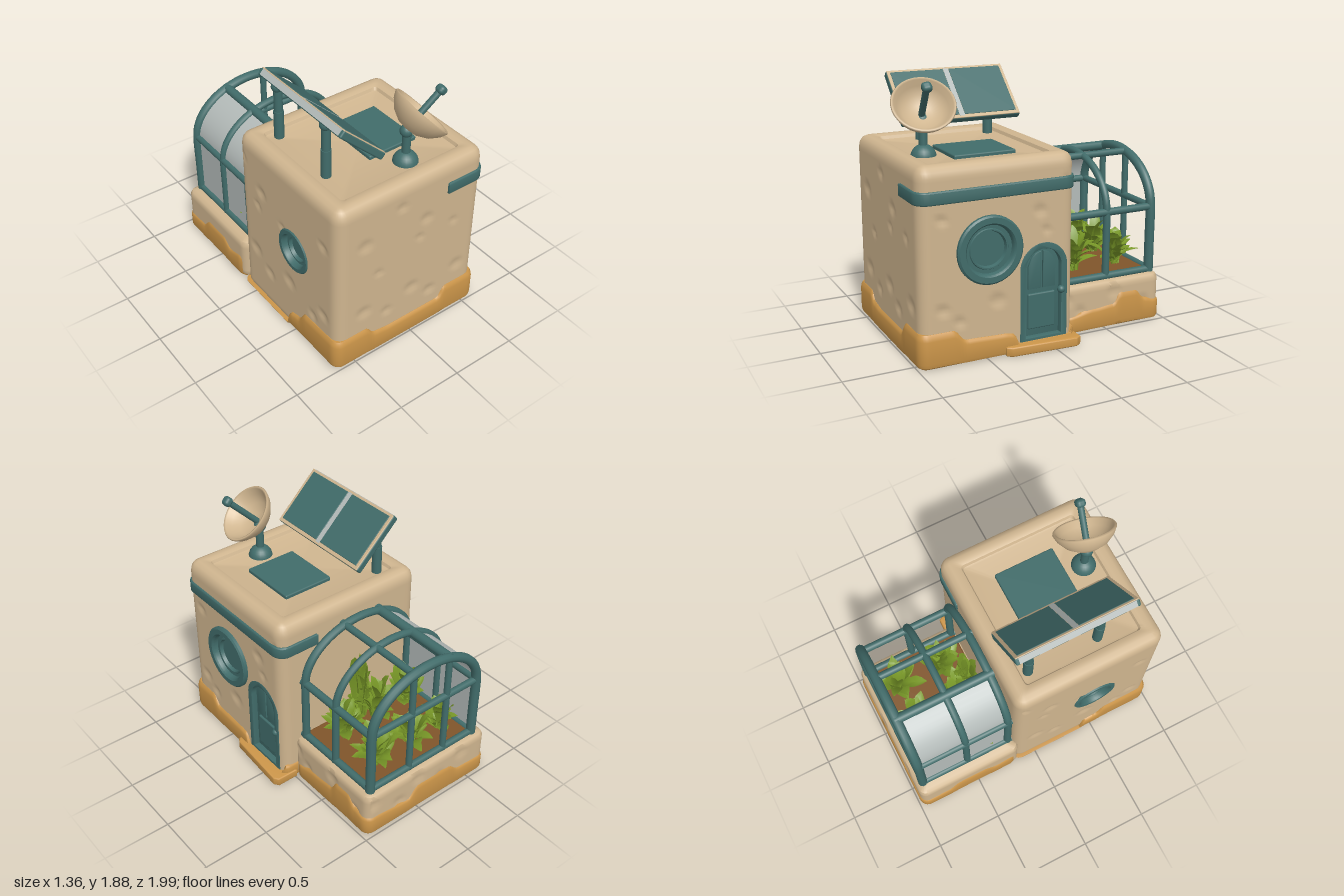
import * as THREE from 'three';
import { toCreasedNormals, mergeGeometries } from 'three/addons/utils/BufferGeometryUtils.js';
import { ParametricGeometry } from 'three/addons/geometries/ParametricGeometry.js';
import { RoundedBoxGeometry } from 'three/addons/geometries/RoundedBoxGeometry.js';

const mat = (name, color, side = THREE.FrontSide) => {
  const m = new THREE.MeshStandardMaterial({ color, side });
  m.name = name;
  return m;
};
const V = (x, y, z) => new THREE.Vector3(x, y, z);
const lerpKeys = (keys, t) => {
  if (t <= keys[0][0]) return keys[0][1];
  for (let i = 1; i < keys.length; i++) {
    const [a, p] = keys[i - 1], [b, q] = keys[i];
    if (t <= b) return p + (q - p) * THREE.MathUtils.smoothstep(t, a, b);
  }
  return keys[keys.length - 1][1];
};

// Rounded-rectangle sections stacked by rows of [inset, y]; a null inset closes to the centre
function loft([x0, x1, z0, z1], r, rows, n, shape) {
  const cx = (x0 + x1) / 2, cz = (z0 + z1) / 2, pos = [], index = [], arc = 6;
  const count = 4 * (n + arc);
  for (const [inset, y] of rows) {
    const s = inset === null ? 0 : 1, d = inset || 0, q = Math.max(r - d, 0.025);
    const hx = (x1 - x0) / 2 - d, hz = (z1 - z0) / 2 - d;
    const corner = (k, a) => [[1, -1], [-1, -1], [-1, 1], [1, 1]][k].map((e, i) =>
      e * ((i ? hz : hx) - q) + q * (i ? -Math.sin(a) : Math.cos(a)));
    for (let k = 0; k < 4; k++) {
      const a0 = k * Math.PI / 2, end = corner(k, a0 + Math.PI / 2), next = corner((k + 1) % 4, a0 + Math.PI / 2);
      for (let i = 0; i < arc + n; i++) {
        const t = (i - arc) / n;
        const p = i < arc ? corner(k, a0 + i / arc * Math.PI / 2) : end.map((e, j) => e + (next[j] - e) * t);
        const v = V(cx + p[0] * s, y, cz + p[1] * s);
        shape(v);
        pos.push(v.x, v.y, v.z);
      }
    }
  }
  for (let j = 0; j < rows.length - 1; j++) for (let i = 0; i < count; i++) {
    const a = j * count + i, b = j * count + (i + 1) % count;
    index.push(a, b, a + count, b, b + count, a + count);
  }
  const g = new THREE.BufferGeometry();
  g.setAttribute('position', new THREE.Float32BufferAttribute(pos, 3));
  g.setIndex(index);
  return toCreasedNormals(g, 0.7);
}

export function createModel() {
  const root = new THREE.Group();
  root.name = 'outpost';
  const clay = mat('clay', 0xcfb58f), teal = mat('teal', 0x416c6a), sand = mat('sand', 0xcb9549);
  const soil = mat('soil', 0x80552a), leafGreen = mat('leafGreen', 0x7a9a28, THREE.DoubleSide);
  const glass = mat('glass', 0xb4bbb9, THREE.DoubleSide);
  const add = (name, geo, m, x = 0, y = 0, z = 0, parent = root) => {
    const mesh = new THREE.Mesh(geo, m);
    mesh.name = name;
    mesh.position.set(x, y, z);
    parent.add(mesh);
    return mesh;
  };
  const group = (name, x, y, z) => {
    const g = new THREE.Group();
    g.name = name;
    g.position.set(x, y, z);
    root.add(g);
    return g;
  };
  const rod = (name, a, b, r, parent = root) => {
    const d = b.clone().sub(a), c = a.clone().add(b).multiplyScalar(0.5);
    const m = add(name, new THREE.CylinderGeometry(r, r, d.length(), 14), teal, c.x, c.y, c.z, parent);
    m.quaternion.setFromUnitVectors(V(0, 1, 0), d.normalize());
  };

  // House walls: shallow dimples, plus recesses behind the door and round windows
  const dimples = [[-0.42, 1.02, 0.07], [0.1, 1, 0.06], [-0.42, 0.42, 0.07], [0, 0.42, 0.07], [0.42, 0.41, 0.07],
    [0.17, 0.3, 0.06], [-0.22, 0.32, 0.05], [0.35, 0.86, 0.04], [-0.12, 1.2, 0.05], [0.82, 0.4, 0.06],
    [0.82, 1.02, 0.05], [0.05, 0.86, 0.04], [-0.3, 0.72, 0.04], [0.7, 0.3, 0.05]];
  const dent = (t, y) => dimples.reduce((s, [a, b, r]) =>
    s + 0.012 * Math.max(0, 1 - ((t - a) ** 2 + 1.6 * (y - b) ** 2) / r ** 2), 0);
  const wall = v => {
    if (v.y > 1.3 || v.y < 0.03) return;
    if (v.z > 0.975) v.z -= dent(v.x, v.y);
    else if (v.x < -0.645) v.x += Math.hypot(v.z - 0.48, v.y - 0.74) < 0.135 ? 0.07 : dent(v.z, v.y);
    else if (v.x > 0.585) {
      const u = v.z - 0.07;
      const inDoor = Math.abs(u) < 0.155 && (v.y < 0.59 || Math.hypot(u, v.y - 0.59) < 0.155);
      const inWindow = Math.hypot(v.z - 0.48, v.y - 0.78) < 0.2;
      v.x -= inDoor ? 0.08 : inWindow ? 0.08 : dent(v.z, v.y);
    }
  };
  const rows = [[null, 0.004], [0.01, 0.004]];
  for (let i = 0; i <= 52; i++) rows.push([0, 0.03 + i * 0.0245]);
  rows.push([0.008, 1.34], [0.028, 1.368], [0.06, 1.383], [0.1, 1.382], [0.125, 1.372], [0.135, 1.35], [0.15, 1.345], [null, 1.345]);
  add('houseWalls', loft([-0.65, 0.59, -0.17, 0.98], 0.08, rows, 44, wall), clay);

  // Greenhouse planter
  const planterRows = [[null, 0.01], [0.02, 0.01], [0, 0.04]];
  for (let i = 1; i <= 10; i++) planterRows.push([0, 0.04 + i * 0.028]);
  planterRows.push([0.012, 0.345], [0.04, 0.358], [null, 0.358]);
  add('planter', loft([-0.67, 0.47, -0.975, -0.14], 0.06, planterRows, 36, v => {
    if (v.x > 0.465) v.x -= dent(v.z + 1.0, v.y + 0.14);
    if (v.z < -0.97) v.z += dent(v.x, v.y + 0.14);
  }), clay);

  // Wavy sand skirts whose height follows keys along each side: front, right, back, left
  const skirtRows = [[null, 0], [0.03, 0], [0.008, 0.06], [0, 0.18], [0, 0.82], [0.006, 0.93], [0.018, 1], [0.06, 1]];
  const skirt = (name, box, keys) => {
    const [x0, x1, z0, z1] = box;
    add(name, loft(box, 0.07, skirtRows, 50, v => {
      const d = [z1 - v.z, x1 - v.x, v.z - z0, v.x - x0], k = d.indexOf(Math.min(...d));
      v.y *= lerpKeys(keys[k], k % 2 ? v.z : v.x);
    }), sand);
  };
  skirt('houseSkirt', [-0.672, 0.61, -0.18, 1], [
    [[-0.4, 0.25], [-0.33, 0.18], [-0.2, 0.165], [0.25, 0.165], [0.32, 0.25]],
    [[-0.17, 0.13], [-0.14, 0.07], [0.26, 0.07], [0.3, 0.15], [0.37, 0.16], [0.66, 0.17], [0.75, 0.25]],
    [[-0.6, 0.005], [-0.5, 0.1], [0.6, 0.13]],
    [[0.41, 0.005], [0.44, 0.13], [0.54, 0.15], [0.62, 0.24], [0.95, 0.25]]]);
  skirt('planterSkirt', [-0.68, 0.482, -0.985, -0.16], [
    [[0, 0.1]],
    [[-0.93, 0.16], [-0.84, 0.18], [-0.76, 0.26], [-0.64, 0.26], [-0.57, 0.18], [-0.4, 0.165], [-0.2, 0.13]],
    [[-0.62, 0.14], [-0.4, 0.15], [-0.3, 0.22], [0, 0.22], [0.1, 0.13], [0.4, 0.16]],
    [[-0.92, 0.14], [-0.75, 0.15], [-0.65, 0.23], [-0.45, 0.23], [-0.35, 0.17], [-0.2, 0.2]]]);

  // Doorstep and corner band, drawn in plan and raised
  const plan = (name, pts, y, h, m) => {
    const s = new THREE.Shape(pts.map(([x, z]) => new THREE.Vector2(x, -z)));
    const g = new THREE.ExtrudeGeometry(s, { depth: h - 0.02, bevelSize: 0.01, bevelThickness: 0.01, bevelSegments: 3 });
    add(name, toCreasedNormals(g.rotateX(-Math.PI / 2), 0.6), m, 0, y + 0.01, 0);
  };
  plan('doorstep', [[0.5, 0.36], [0.62, 0.36], [0.64, 0.33], [0.67, -0.15], [0.65, -0.18], [0.5, -0.18]], 0, 0.068, sand);
  const band = [[0.28, 0.985]];
  for (let i = 0; i <= 8; i++) band.push([0.51 + 0.085 * Math.sin(i * Math.PI / 16), 0.9 + 0.085 * Math.cos(i * Math.PI / 16)]);
  for (let i = 0; i <= 8; i++) band.push([0.51 + 0.085 * Math.cos(i * Math.PI / 16), -0.09 - 0.085 * Math.sin(i * Math.PI / 16)]);
  band.push([0.28, -0.175], [0.28, -0.13], [0.5, -0.1], [0.5, 0.9], [0.28, 0.94]);
  plan('cornerBand', band, 1.13, 0.09, teal);

  // Arched door with frame, panels and knob
  const door = group('door', 0.517, 0, 0.07);
  door.rotation.y = Math.PI / 2;
  const arch = (Cls, w, y0, spring) => {
    const s = new Cls();
    s.moveTo(-w, y0); s.lineTo(w, y0); s.lineTo(w, spring);
    s.absarc(0, spring, w, 0, Math.PI, false); s.lineTo(-w, y0);
    return s;
  };
  const slab = (name, s, depth, z) => add(name, toCreasedNormals(new THREE.ExtrudeGeometry(s, {
    depth, curveSegments: 20, bevelSize: 0.005, bevelThickness: 0.005, bevelSegments: 2 }), 0.6), teal, 0, 0, z, door);
  const frame = arch(THREE.Shape, 0.178, 0.06, 0.59);
  frame.holes.push(arch(THREE.Path, 0.142, 0.085, 0.59));
  slab('doorFrame', frame, 0.07, 0);
  slab('doorLeaf', arch(THREE.Shape, 0.15, 0.06, 0.59), 0.02, 0.005);
  for (const side of [1, -1]) slab('upperDoorPanel', new THREE.Shape(
    [[0.012, 0.44], [0.1, 0.44], [0.1, 0.6], [0.075, 0.66], [0.045, 0.69], [0.012, 0.7]]
      .map(([u, y]) => new THREE.Vector2(u * side, y))), 0.008, 0.033);
  add('lowerDoorPanel', new RoundedBoxGeometry(0.21, 0.26, 0.025, 2, 0.01), teal, 0, 0.27, 0.033, door);
  add('doorKnob', new THREE.SphereGeometry(0.028, 16, 12), teal, 0.14, 0.41, 0.066, door);

  // Round windows on both sides: stepped rings around a sunken pane
  const porthole = (name, x, y, r, turn) => {
    const pts = [[1, -0.02], [1, 0.022], [0.95, 0.033], [0.78, 0.033], [0.73, 0.02], [0.71, -0.012], [0.6, -0.012],
      [0.58, -0.004], [0.54, -0.004], [0.51, -0.03], [0, -0.03]].map(([a, b]) => new THREE.Vector2(a * r, b));
    add(name, toCreasedNormals(new THREE.LatheGeometry(pts, 36), 0.6), teal, x, y, 0.48).rotation.z = turn;
  };
  porthole('doorSideWindow', 0.59, 0.78, 0.24, -Math.PI / 2);
  porthole('farSideWindow', -0.627, 0.74, 0.17, Math.PI / 2);

  // Roof hatch
  add('roofHatch', new RoundedBoxGeometry(0.4, 0.04, 0.46, 2, 0.01), teal, 0.1, 1.352, 0.37);

  // Tilted solar panel on two posts
  for (const z of [0.56, 0.02]) {
    rod('panelPost', V(-0.43, 1.34, z), V(-0.43, 1.78, z), 0.031);
    rod('panelPostSleeve', V(-0.43, 1.34, z), V(-0.43, 1.56, z), 0.036);
    add('panelJoint', new THREE.SphereGeometry(0.042, 14, 10), teal, -0.435, 1.755, z);
  }
  const panel = group('solarPanel', -0.31, 1.68, 0.345);
  panel.rotation.z = -0.76;
  add('panelBack', new RoundedBoxGeometry(0.465, 0.055, 0.91, 2, 0.012), teal, 0, -0.008, 0, panel);
  add('panelRim', new RoundedBoxGeometry(0.46, 0.009, 0.9, 2, 0.004), clay, 0, 0.019, 0, panel);
  add('panelDivider', new THREE.BoxGeometry(0.43, 0.006, 0.04), glass, 0, 0.022, 0, panel);
  add('panelUpperEdge', new THREE.BoxGeometry(0.006, 0.045, 0.86), glass, -0.231, -0.006, 0, panel);
  for (const s of [-1, 1]) add('solarCell', new RoundedBoxGeometry(0.415, 0.009, 0.405, 2, 0.004), teal, -0.004, 0.023, s * 0.224, panel);

  // Satellite dish
  rod('dishPost', V(0.09, 1.34, 0.74), V(0.09, 1.6, 0.74), 0.03);
  add('dishFoot', new THREE.SphereGeometry(0.09, 20, 8, 0, Math.PI * 2, 0, Math.PI / 2), teal, 0.09, 1.335, 0.74);
  add('dishJoint', new THREE.SphereGeometry(0.046, 16, 12), teal, 0.085, 1.59, 0.74);
  const dish = group('dish', 0.078, 1.608, 0.745);
  dish.quaternion.setFromUnitVectors(V(0, 1, 0), V(0.69, 0.69, 0.14).normalize());
  const bowl = [[0, 0], [0.08, 0.012], [0.15, 0.05], [0.2, 0.105], [0.222, 0.15], [0.215, 0.16], [0.2, 0.155],
    [0.178, 0.11], [0.135, 0.065], [0.07, 0.034], [0, 0.025]].map(p => new THREE.Vector2(...p));
  add('dishBowl', new THREE.LatheGeometry(bowl, 32), clay, 0, 0, 0, dish);
  rod('dishArm', V(0, 0.02, 0), V(0, 0.34, 0), 0.023, dish);
  add('dishTip', new RoundedBoxGeometry(0.07, 0.06, 0.07, 3, 0.025), teal, 0, 0.34, 0, dish);

  // Greenhouse frame: arches across, rails along
  const cx = -0.083, half = 0.485, spring = 0.86, rise = 0.36;
  const vaultY = x => spring + rise * Math.sqrt(Math.max(0, 1 - ((x - cx) / half) ** 2));
  for (const [z, r] of [[-0.915, 0.035], [-0.54, 0.027], [-0.2, 0.03]]) {
    const pts = [V(cx + half, 0.36, z), V(cx + half, 0.6, z)];
    for (let i = 0; i <= 14; i++) pts.push(V(cx + half * Math.cos(i * Math.PI / 14), spring + rise * Math.sin(i * Math.PI / 14), z));
    pts.push(V(cx - half, 0.6, z), V(cx - half, 0.36, z));
    add('greenhouseArch', new THREE.TubeGeometry(new THREE.CatmullRomCurve3(pts), 72, r, 10), teal);
  }
  for (const x of [cx - half, cx + half]) for (const y of [0.375, 0.86])
    rod('sideRail', V(x, y, -0.93), V(x, y, -0.17), 0.028);
  for (const [x, r] of [[-0.28, 0.035], [0.045, 0.026]]) {
    rod('roofRail', V(x, vaultY(x), -0.93), V(x, vaultY(x), -0.17), r);
    rod('endMullion', V(x, 0.36, -0.915), V(x, vaultY(x), -0.915), 0.024);
  }
  for (const y of [0.375, 0.86]) rod('endRail', V(cx - half, y, -0.915), V(cx + half, y, -0.915), 0.026);

  // Curved glass on the far side only
  add('greenhouseGlass', new ParametricGeometry((u, v, p) => {
    const a = Math.max(0, (u - 0.4) / 0.6) * 1.16;
    p.set(cx - half * Math.cos(a), u < 0.4 ? 0.37 + (spring - 0.37) * u / 0.4 : spring + rise * Math.sin(a), -0.91 + 0.71 * v);
  }, 20, 1), glass);

  // Soil and leafy plants
  add('soilBed', new RoundedBoxGeometry(0.95, 0.05, 0.74, 2, 0.015), soil, cx, 0.358, -0.55);
  let seed = 7;
  const rnd = () => (seed = (seed * 16807) % 2147483647) / 2147483647;
  // Each leaf arches out by reach and up by height, widest past its middle
  const leaf = (reach, height, width) => new ParametricGeometry((u, v, p) => {
    const s = 1 - u * 2, w = width * Math.sin(Math.PI * (0.06 + 0.94 * v ** 1.6));
    p.set(s * w, height * (1.5 * v - 0.5 * v * v) + Math.abs(s) * w * 0.35, reach * (0.35 * v + 0.65 * v * v));
  }, 2, 6);
  for (const [x, z, reach, height] of [[-0.13, -0.74, 0.22, 0.3], [0.2, -0.74, 0.22, 0.34], [-0.12, -0.38, 0.2, 0.4],
    [0.2, -0.38, 0.2, 0.36], [-0.4, -0.74, 0.17, 0.3], [-0.4, -0.38, 0.17, 0.34], [-0.04, -0.29, 0.1, 0.66]]) {
    const leaves = [];
    for (let i = 0; i < 22; i++) {
      const lean = i / 21, size = 0.8 + 0.3 * rnd();
      const g = leaf(reach * size * (1 - 0.6 * lean), height * size * (0.3 + 0.65 * lean), 0.038 + 0.016 * rnd());
      leaves.push(g.rotateY(i * 2.4 + rnd() * 0.6).translate(0.06 * (rnd() - 0.5), 0, 0.06 * (rnd() - 0.5)));
    }
    add('plant', mergeGeometries(leaves), leafGreen, x, 0.375, z);
  }
  return root;
}
